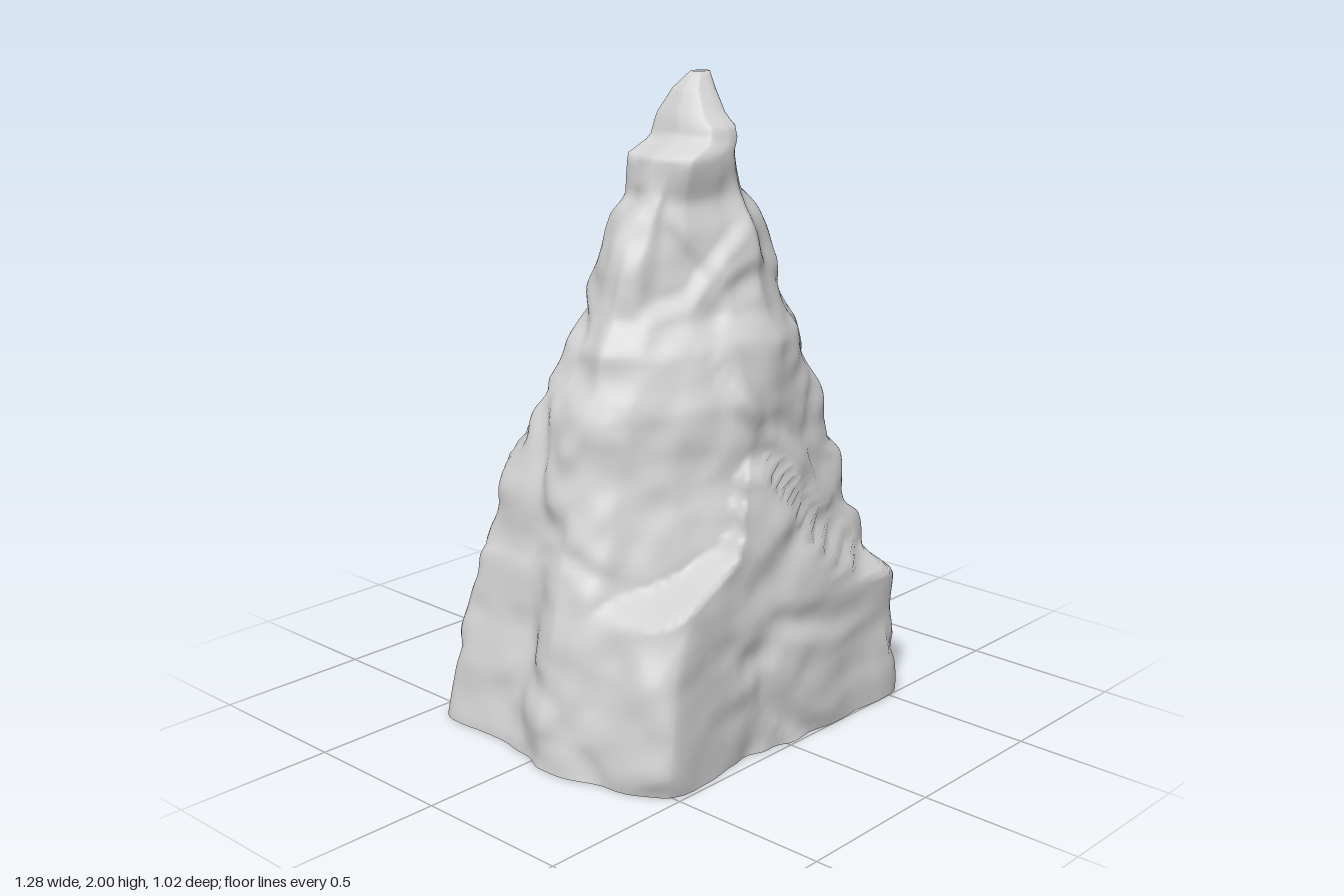
import * as THREE from 'three';

// Height, then the left, right, front and back limits of the rock without its slabs
const PROFILE = [
  [0, -.65, .535, .432, -.46], [.2, -.625, .522, .428, -.43], [.44, -.575, .50, .417, -.39],
  [.58, -.54, .475, .40, -.37], [.86, -.475, .462, .36, -.315],
  [.91, -.46, .45, .355, -.295], [1.05, -.43, .42, .345, -.245], [1.12, -.40, .405, .335, -.23],
  [1.22, -.37, .395, .32, -.205], [1.3, -.31, .375, .285, -.195], [1.42, -.275, .345, .265, -.17],
  [1.58, -.2, .27, .23, -.15], [1.65, -.155, .21, .205, -.12], [1.77, -.135, .165, .19, -.105],
  [1.81, -.035, .155, .188, -.1], [1.85, -.025, .148, .18, -.09], [1.88, -.015, .142, .14, -.08],
  [1.95, .02, .135, .085, -.035], [2, .07, .125, .05, .01],
];
// Cross-section outlines from foot to summit, scaled to a unit box
const SECTIONS = [
  { y: .3, pts: [[1, -.26], [.93, .35], [.86, .96], [.2, 1], [-.2, .95], [-.77, .97], [-.92, .6],
    [-1, .14], [-.87, -.3], [-.85, -.84], [-.1, -1], [.7, -.92], [.88, -.64]] },
  { y: .9, pts: [[1, -.1], [.97, .4], [.88, .82], [.4, .95], [-.1, 1], [-.55, .74], [-.85, .42],
    [-1, .05], [-.95, -.4], [-.85, -.8], [-.25, -1], [.5, -.95], [.93, -.65]] },
  { y: 1.4, pts: [[1, -.15], [.95, .3], [.7, .7], [.25, 1], [-.1, .9], [-.45, .68], [-.8, .38],
    [-1, 0], [-.87, -.5], [-.65, -.87], [-.1, -1], [.55, -1], [.9, -.7]] },
  { y: 1.8, pts: [[1, -.2], [.9, .3], [.7, .75], [.3, 1], [-.1, 1], [-.7, .85], [-.9, .5],
    [-1, .1], [-.95, -.3], [-.8, -.8], [-.1, -1], [.5, -.95], [.9, -.6]] },
];
// Upper edges of the slabs: x (or z for the right face), y
const FRONT_SLAB = [[-.7, .4], [-.5, .54], [-.22, .64], [-.13, .87], [0, .86], [.2, .68], [.42, .46], [.7, .4]];
const SHOULDER = [[-.3, 1.3], [-.12, 1.36], [0, 1.5], [.17, 1.63]];
const BACK_SLAB = [[-.45, .8], [-.25, 1.02], [-.1, 1.12], [.1, 1.1], [.2, 1], [.45, .75]];
const RIGHT_LOW_SLAB = [[-.4, .25], [-.1, .42], [.2, .56], [.4, .63]];
const RIGHT_HIGH_SLAB = [[-.4, .7], [-.2, .8], [0, .9], [.15, .9], [.35, .8]];

const { lerp, smoothstep, clamp } = THREE.MathUtils;

// Linear lookup in a table whose first column is the key
function lookup(table, key, col) {
  let i = 0;
  while (i < table.length - 2 && table[i + 1][0] < key) i++;
  const a = table[i], b = table[i + 1];
  return lerp(a[col], b[col], clamp((key - a[0]) / (b[0] - a[0]), 0, 1));
}

// 1 below a slab's upper edge, 0 above it
const below = (edge, along, y) => smoothstep(lookup(edge, along, 1) - y, -.03, .03);

function hash(x, y, z, seed) {
  let h = Math.imul(x, 374761393) ^ Math.imul(y, 668265263) ^ Math.imul(z, 2147424727) ^ Math.imul(seed, 974711);
  h = Math.imul(h ^ (h >>> 13), 1274126177);
  h = Math.imul(h ^ (h >>> 15), 2246822519);
  return ((h ^ (h >>> 16)) >>> 0) / 4294967296;
}

// Smooth noise, -1 to 1
function noise(x, y, z, seed) {
  const X = Math.floor(x), Y = Math.floor(y), Z = Math.floor(z);
  const s = (t) => t * t * (3 - 2 * t);
  const w = (d, on) => (on ? s(d) : 1 - s(d));
  let sum = 0;
  for (let c = 0; c < 8; c++) {
    const i = c & 1, j = (c >> 1) & 1, k = c >> 2;
    sum += hash(X + i, Y + j, Z + k, seed) * w(x - X, i) * w(y - Y, j) * w(z - Z, k);
  }
  return sum * 2 - 1;
}

// Cracked boulders: low in the cracks between cells, high inside them
function boulders(x, y, z) {
  const X = Math.floor(x), Y = Math.floor(y), Z = Math.floor(z);
  let near = 9, next = 9, step = 0;
  for (let i = -1; i <= 1; i++) for (let j = -1; j <= 1; j++) for (let k = -1; k <= 1; k++) {
    const a = X + i, b = Y + j, c = Z + k;
    const d = Math.hypot(a + hash(a, b, c, 1) - x, b + hash(a, b, c, 2) - y, c + hash(a, b, c, 3) - z);
    if (d < near) { next = near; near = d; step = hash(a, b, c, 4) - .5; }
    else if (d < next) next = d;
  }
  return smoothstep(next - near, 0, .3) * (.7 + step) - .6;
}

function rockGeometry() {
  const rings = 120, sides = 128, positions = [], index = [];
  const curves = SECTIONS.map(({ pts }) => new THREE.CatmullRomCurve3(
    pts.map(([x, z]) => new THREE.Vector3(x, 0, z)), true, 'catmullrom', .3));

  for (let r = 0; r <= rings; r++) {
    const y = 2 * r / rings;
    for (let s = 0; s < sides; s++) {
      const p = curves[0].getPoint(s / sides);
      // The front slab keeps the foot outline up to its edge
      const onFront = smoothstep(p.z, .35, .75);
      const frontSlab = below(FRONT_SLAB, p.x * .62, y) * onFront;
      for (let i = 1; i < curves.length; i++) {
        let t = smoothstep(y, SECTIONS[i - 1].y, SECTIONS[i].y);
        if (i === 1) t = lerp(t, 1 - frontSlab, onFront);
        p.lerp(curves[i].getPoint(s / sides), t);
      }
      const level = clamp(y + .025 * noise(p.x * 2, y * 2, p.z * 2, 9) * smoothstep(2 - y, 0, .5), 0, 2);
      const [left, right, front, back] = [1, 2, 3, 4].map((c) => lookup(PROFILE, level, c));
      let x = (left + right) / 2 + p.x * (right - left) / 2;
      let z = (front + back) / 2 + p.z * (front - back) / 2;
      // Slabs on the front, back and right, and the set-back face above the shoulder
      const onRight = smoothstep(p.x, .45, .8), onBack = smoothstep(-p.z, .35, .75);
      const setback = below(SHOULDER, x, y) - 1;
      const slabZ = .06 * frontSlab - .05 * below(BACK_SLAB, x, y) * onBack
        + .03 * setback * onFront * smoothstep(1.78 - y, 0, .15) * smoothstep(.12 - x, 0, .1);
      const slabX = (.055 * below(RIGHT_LOW_SLAB, z, y) + .06 * below(RIGHT_HIGH_SLAB, z, y)) * onRight;
      // Rough stone surface
      const fade = smoothstep(2 - y, 0, .7) * .8 + .2;
      const bump = fade * (.024 * boulders(x * 3.2, y * 2.6 + x, z * 3.2)
        + .013 * noise(x * 6, y * 6, z * 6, 5) + .009 * noise(x * 13, y * 13, z * 13, 6)) + .003;
      const d = Math.hypot(p.x, p.z);
      positions.push(x + bump * p.x / d + slabX, y, z + bump * p.z / d + slabZ);
      if (r < rings) {
        const a = r * sides + s, b = r * sides + (s + 1) % sides;
        index.push(a, a + sides, b, b, a + sides, b + sides);
      }
    }
  }
  // Close the summit
  const top = positions.length / 3;
  positions.push(.095, 2, .03);
  for (let s = 0; s < sides; s++) index.push(rings * sides + s, top, rings * sides + (s + 1) % sides);

  const geometry = new THREE.BufferGeometry();
  geometry.setAttribute('position', new THREE.Float32BufferAttribute(positions, 3));
  geometry.setIndex(index);
  geometry.computeVertexNormals();
  return { geometry, rim: positions.slice(0, sides * 3) };
}

export function createModel() {
  const group = new THREE.Group();
  group.name = 'rockSpire';
  const stone = new THREE.MeshStandardMaterial({ color: 0xd3d3d3 });
  stone.name = 'grey stone';

  const { geometry, rim } = rockGeometry();
  const rock = new THREE.Mesh(geometry, stone);
  rock.name = 'rock';

  // Flat underside following the rim of the rock
  const shape = new THREE.Shape();
  for (let i = 0; i < rim.length; i += 3) {
    if (i) shape.lineTo(rim[i], rim[i + 2]);
    else shape.moveTo(rim[i], rim[i + 2]);
  }
  const underside = new THREE.Mesh(new THREE.ShapeGeometry(shape).rotateX(Math.PI / 2), stone);
  underside.name = 'underside';

  group.add(rock, underside);
  return group;
}
